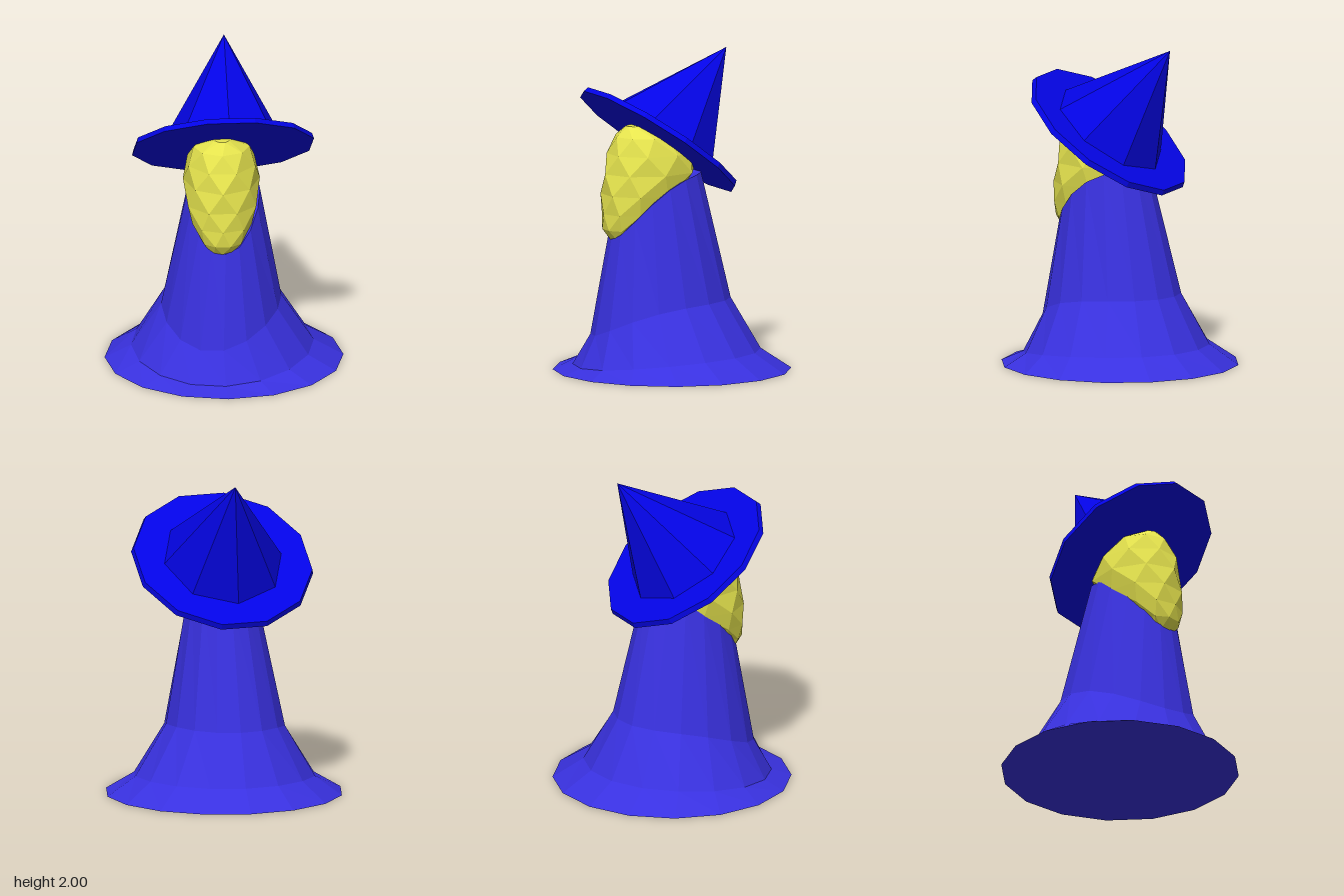
import * as THREE from 'three';

const robeMat = new THREE.MeshStandardMaterial({ color: 0x3931e0 });
robeMat.name = 'violet blue cloth';
const hatMat = new THREE.MeshStandardMaterial({ color: 0x0404e6 });
hatMat.name = 'deep blue felt';
const headMat = new THREE.MeshStandardMaterial({ color: 0xe6e44e });
headMat.name = 'yellow skin';

// Faceted mesh: every face gets its own normal
function facetedMesh(name, geometry, material) {
  const flat = geometry.index ? geometry.toNonIndexed() : geometry;
  flat.computeVertexNormals();
  const mesh = new THREE.Mesh(flat, material);
  mesh.name = name;
  return mesh;
}

// Joins rings of points from bottom to top and closes both ends
function loft(rings) {
  const positions = [];
  const tri = (...points) => points.forEach((p) => positions.push(p.x, p.y, p.z));
  const centre = (ring) =>
    ring.reduce((sum, p) => sum.add(p), new THREE.Vector3()).divideScalar(ring.length);
  const n = rings[0].length;
  const first = rings[0], last = rings[rings.length - 1];
  const bottom = centre(first), top = centre(last);
  for (let i = 0; i < n; i++) {
    const j = (i + 1) % n;
    tri(bottom, first[j], first[i]);
    for (let k = 0; k < rings.length - 1; k++) {
      const a = rings[k], b = rings[k + 1];
      tri(a[i], a[j], b[i]);
      tri(a[j], b[j], b[i]);
    }
    tri(top, last[i], last[j]);
  }
  const geometry = new THREE.BufferGeometry();
  geometry.setAttribute('position', new THREE.Float32BufferAttribute(positions, 3));
  return geometry;
}

// Elliptical ring; angles run from +z towards +x
function ring(sides, cx, cz, rx, rz, height, offset = 0) {
  return Array.from({ length: sides }, (_, i) => {
    const a = ((i + offset) / sides) * Math.PI * 2;
    return new THREE.Vector3(cx + rx * Math.sin(a), height(a), cz + rz * Math.cos(a));
  });
}

// Height that sags towards one direction (degrees)
const sag = (back, drop, direction, power) => (a) =>
  back - drop * ((1 + Math.cos(a - THREE.MathUtils.degToRad(direction))) / 2) ** power;

// Flared robe with a neckline cut low at the front
function createRobe() {
  return facetedMesh('robe', loft([
    ring(16, 0, 0, 0.745, 0.745, () => 0),
    ring(16, -0.011, 0.032, 0.57, 0.59, sag(0.125, 0.09, -14, 2.3)),
    ring(16, -0.02, 0.07, 0.375, 0.45, sag(0.445, 0.22, -16, 2.8)),
    ring(16, -0.005, 0.115, 0.225, 0.3, sag(1.24, 0.4, 0, 2.4)),
  ]), robeMat);
}

// Egg-shaped head tapering forward to the chin
function createHead() {
  // height, forward centre, half width, half depth
  const sections = [
    [0.835, 0.35, 0.08, 0.06],
    [0.9, 0.35, 0.125, 0.105],
    [1.0, 0.295, 0.185, 0.165],
    [1.12, 0.21, 0.23, 0.25],
    [1.25, 0.145, 0.24, 0.305],
    [1.37, 0.15, 0.225, 0.27],
    [1.48, 0.195, 0.175, 0.175],
    [1.545, 0.245, 0.05, 0.06],
  ];
  return facetedMesh('head', loft(sections.map(([y, z, rx, rz], k) =>
    ring(8, -0.022, z, rx, rz, () => y, k / 2))), headMat);
}

// Wide brim and pointed crown, tipped back
function createHat() {
  const hat = new THREE.Group();
  hat.name = 'hat';
  const brim = new THREE.CylinderGeometry(0.565, 0.575, 0.035, 12, 1, false, Math.PI / 12 + 0.07);
  hat.add(facetedMesh('hatBrim', brim, hatMat));
  const tip = ring(8, 0.045, -0.034, 0.001, 0.001, () => 0.713);
  const crown = loft([ring(8, 0, 0, 0.385, 0.385, () => 0.012, 0.1), tip]);
  hat.add(facetedMesh('hatCrown', crown, hatMat));
  hat.position.set(-0.01, 1.45, 0.085);
  hat.rotation.set(THREE.MathUtils.degToRad(-36.5), 0, THREE.MathUtils.degToRad(1.8));
  return hat;
}

export function createModel() {
  const model = new THREE.Group();
  model.name = 'robedFigure';
  // The whole figure looks diagonally forward
  const figure = new THREE.Group();
  figure.name = 'figure';
  figure.rotation.y = Math.PI / 4;
  figure.add(createRobe(), createHead(), createHat());
  model.add(figure);
  return model;
}
